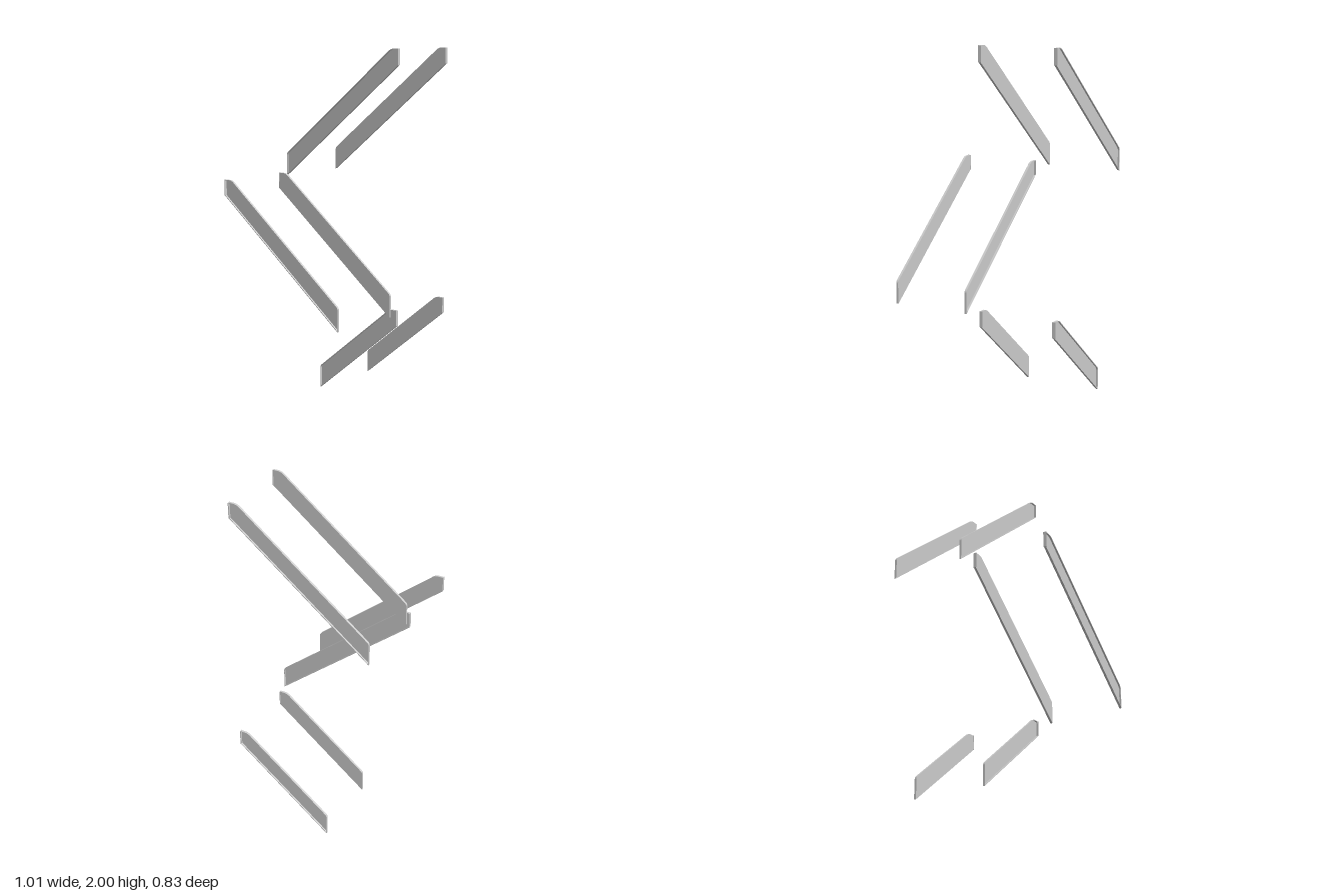
import * as THREE from 'three';

const SLOPE = 0.806, HIGH_Z = 0.4, WIDTH = 0.013, WALL = 0.003;
const material = new THREE.MeshStandardMaterial({ color: 0xcccccc, side: THREE.DoubleSide });

// Side outline of a stringer (z, y); y is measured down from its flat top, inset shrinks it evenly
function outline(lowZ, inset, Kind) {
  const slant = inset * Math.hypot(1, SLOPE);
  const high = HIGH_Z - inset, low = lowZ + inset;
  const under = z => -0.09 + slant + (z - HIGH_Z) * SLOPE;
  const over = z => 0.04 - slant + (z - HIGH_Z) * SLOPE;
  const s = new Kind();
  s.moveTo(high, -inset);
  s.lineTo(high, under(high));
  s.lineTo(low, under(low));
  s.lineTo(low, over(low) - 0.012);
  s.quadraticCurveTo(low, over(low), low + 0.012, over(low + 0.012));
  s.lineTo(0.325, over(0.325));
  s.quadraticCurveTo(0.345, -inset, 0.37, -inset);
  s.closePath();
  return s;
}

// Extrude across x, centred on x = 0
function extrudeAcross(shape, depth) {
  const g = new THREE.ExtrudeGeometry(shape, { depth, bevelEnabled: false, curveSegments: 6 });
  return g.translate(0, 0, -depth / 2).rotateY(-Math.PI / 2);
}

function part(name, geometry, x = 0, y = 0, z = 0) {
  const m = new THREE.Mesh(geometry, material);
  m.name = name;
  m.position.set(x, y, z);
  return m;
}

// Channel-shaped stringer, open towards the given side
function stringer(name, lowZ, side) {
  const g = new THREE.Group();
  g.name = name;
  const rim = outline(lowZ, 0, THREE.Shape);
  rim.holes.push(outline(lowZ, 0.004, THREE.Path));
  g.add(part('flanges', extrudeAcross(rim, WIDTH)));
  g.add(part('web', extrudeAcross(outline(lowZ, 0.001, THREE.Shape), WALL), -side * (WIDTH - WALL) / 2));
  // mounting plate on the upper end
  g.add(part('endPlate', new THREE.BoxGeometry(0.019, 0.09, WALL), 0, -0.045, HIGH_Z - WALL / 2));
  return g;
}

// Pair of stringers facing outwards
function flight(name, x, topY, lowZ, turned) {
  const g = new THREE.Group();
  g.name = name;
  for (const side of [-1, 1]) {
    const s = stringer(side * (turned ? -1 : 1) > 0 ? 'leftStringer' : 'rightStringer', lowZ, side);
    s.position.x = side * 0.225;
    g.add(s);
  }
  g.position.set(x, topY, 0);
  if (turned) g.rotation.y = Math.PI;
  return g;
}

export function createModel() {
  const model = new THREE.Group();
  model.name = 'stairStringers';
  model.add(
    flight('lowerFlight', 0.267, 0.546, -0.16, false),
    flight('middleFlight', -0.27, 1.273, -0.417, true),
    flight('upperFlight', 0.267, 2.0, -0.417, false),
  );
  return model;
}
